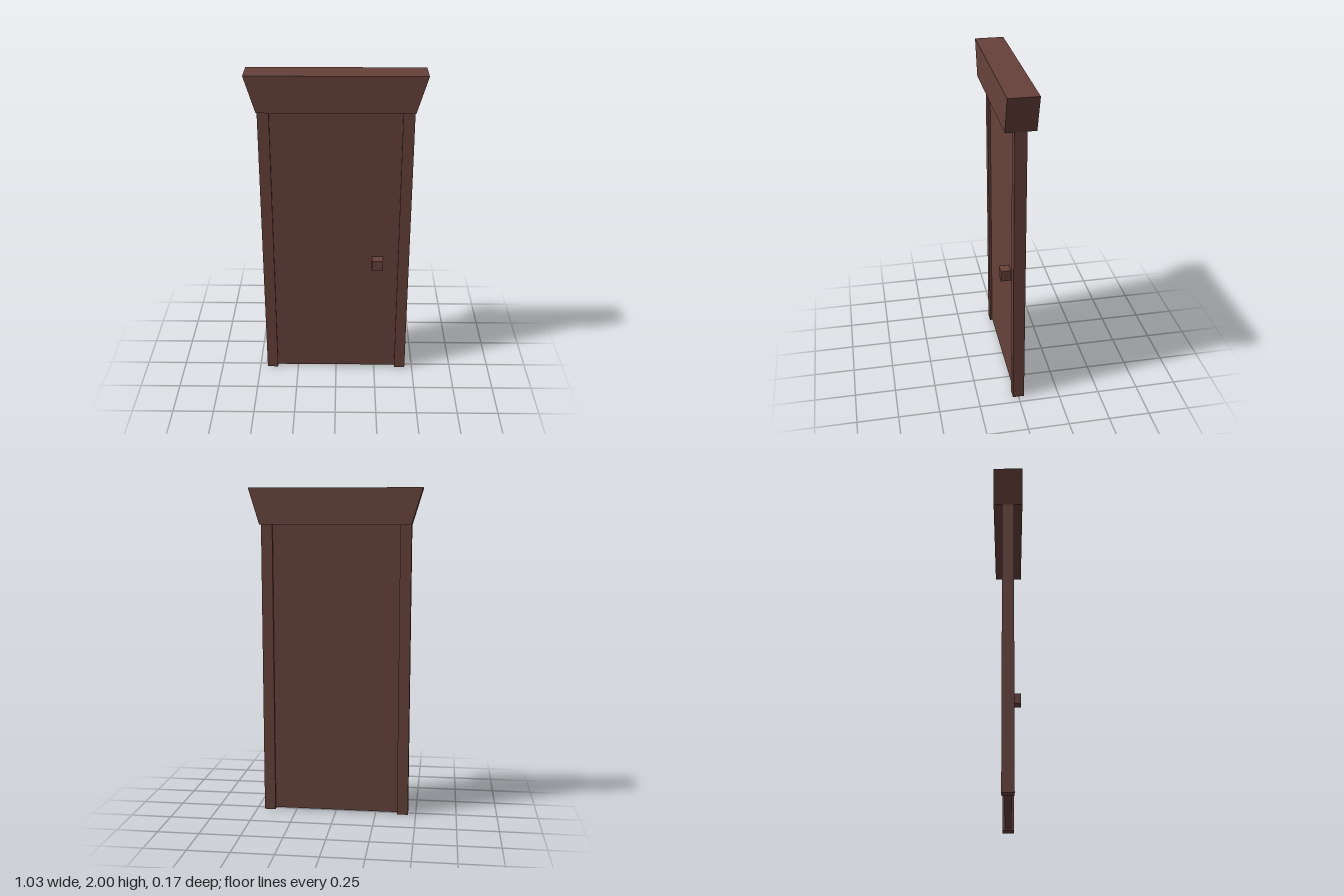
import * as THREE from 'three';

export function createModel() {
  const group = new THREE.Group();
  const wood = new THREE.MeshStandardMaterial({ color: 0x66413a });
  wood.name = 'darkBrownWood';

  const add = (name, geometry, x, y, z) => {
    const mesh = new THREE.Mesh(geometry, wood);
    mesh.name = name;
    mesh.position.set(x, y, z);
    group.add(mesh);
  };
  const box = (name, w, h, d, x, y, z) =>
    add(name, new THREE.BoxGeometry(w, h, d), x, y, z);

  const lintelBottom = 1.785;

  // Side posts of the frame
  for (const [name, side] of [['leftJamb', 1], ['rightJamb', -1]]) {
    box(name, 0.068, lintelBottom, 0.07, side * 0.418, lintelBottom / 2, 0);
  }

  // Door leaf, recessed between the posts and just clear of the floor
  box('doorPanel', 0.768, lintelBottom - 0.01, 0.04, 0, (lintelBottom + 0.01) / 2, 0);

  // Square knob on the front only
  box('knob', 0.068, 0.068, 0.06, 0.256, 0.795, 0.05);

  // Header that flares outward towards the top
  const profile = new THREE.Shape([
    new THREE.Vector2(-0.452, lintelBottom),
    new THREE.Vector2(0.452, lintelBottom),
    new THREE.Vector2(0.517, 2),
    new THREE.Vector2(-0.517, 2),
  ]);
  const depth = 0.174;
  add('lintel', new THREE.ExtrudeGeometry(profile, { depth, bevelEnabled: false }), 0, 0, -depth / 2);

  return group;
}
